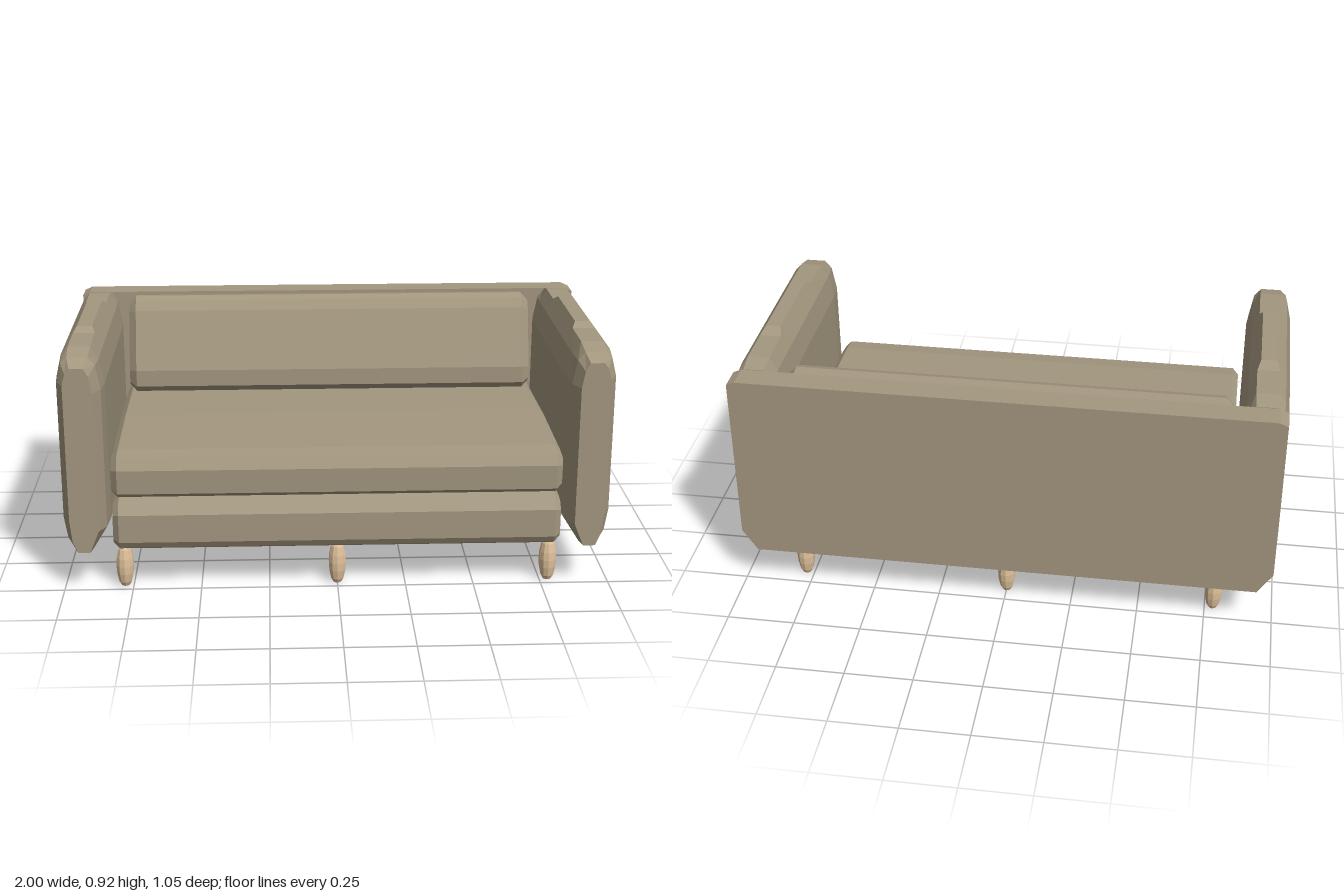
import * as THREE from 'three';

const fabric = new THREE.MeshStandardMaterial({ color: 0xa3977f });
fabric.name = 'taupe fabric';
const wood = new THREE.MeshStandardMaterial({ color: 0xdfc19b });
wood.name = 'pale wood';

// Gives a geometry faceted normals
function facet(geometry) {
  const flat = geometry.index ? geometry.toNonIndexed() : geometry;
  flat.computeVertexNormals();
  return flat;
}

function addMesh(group, name, geometry, material) {
  const mesh = new THREE.Mesh(geometry, material);
  mesh.name = name;
  group.add(mesh);
  return mesh;
}

const toShape = (points) => new THREE.Shape(points.map(([u, v]) => new THREE.Vector2(u, v)));

// Upholstered block: a (z, y) profile run along x, with chamfered ends
function cushion(profile, width, bevel) {
  const g = new THREE.ExtrudeGeometry(toShape(profile), {
    depth: width - 2 * bevel, bevelEnabled: true, bevelSegments: 1,
    bevelThickness: bevel, bevelSize: bevel, bevelOffset: -bevel,
  });
  g.translate(0, 0, bevel - width / 2);
  g.rotateY(-Math.PI / 2);
  return facet(g);
}

// Joins anticlockwise cross-sections running from back to front and caps both ends
function loft(sections) {
  const n = sections[0].length;
  const index = [];
  for (let s = 0; s < sections.length - 1; s++) {
    for (let i = 0; i < n; i++) {
      const a = s * n + i, b = s * n + (i + 1) % n;
      index.push(a, b, b + n, a, b + n, a + n);
    }
  }
  const last = (sections.length - 1) * n;
  for (let i = 1; i < n - 1; i++) {
    index.push(0, i + 1, i, last, last + i, last + i + 1);
  }
  const g = new THREE.BufferGeometry();
  g.setAttribute('position', new THREE.Float32BufferAttribute(sections.flat(2), 3));
  g.setIndex(index);
  return facet(g);
}

// Arm stations: z, top height, width factor, width factor of the top pad
const armStations = [
  [-0.43, 0.885, 0.95, 1], [-0.36, 0.9, 1, 1], [-0.2, 0.9, 1, 1],
  [-0.16, 0.92, 1, 0.7], [0.205, 0.92, 1, 0.7], [0.23, 0.9, 1, 1],
  [0.4, 0.898, 1, 1], [0.475, 0.88, 0.92, 1], [0.523, 0.852, 0.62, 1],
];

function armGeometry(side) {
  const middle = 0.915;
  return loft(armStations.map(([z, top, wide, pad]) => {
    const half = 0.04 * pad;
    const points = [
      [0.885, 0.157], [0.955, 0.157], [0.985, 0.2], [0.999, 0.28], [0.999, 0.79],
      [0.98, Math.min(0.87, top - 0.02)], [middle + half, top], [middle - half, top],
      [0.848, Math.min(0.85, top - 0.03)], [0.83, 0.76], [0.83, 0.24],
    ].map(([x, y]) => [side * (middle + (x - middle) * wide), y, z]);
    return side > 0 ? points : points.reverse();
  }));
}

export function createModel() {
  const sofa = new THREE.Group();
  sofa.name = 'sofa';

  // Back panel with clipped lower corners
  const backShape = toShape([
    [-0.935, 0.157], [0.935, 0.157], [0.99, 0.24], [0.99, 0.872],
    [0.96, 0.885], [-0.96, 0.885], [-0.99, 0.872], [-0.99, 0.24],
  ]);
  const back = new THREE.ExtrudeGeometry(backShape, { depth: 0.095, bevelEnabled: false });
  back.translate(0, 0, -0.528);
  addMesh(sofa, 'backPanel', facet(back), fabric);

  // Arms
  addMesh(sofa, 'leftArm', armGeometry(1), fabric);
  addMesh(sofa, 'rightArm', armGeometry(-1), fabric);

  // Base below the seat
  addMesh(sofa, 'base', cushion([
    [-0.43, 0.15], [0.47, 0.15], [0.5, 0.165], [0.515, 0.19],
    [0.515, 0.295], [0.485, 0.33], [0.44, 0.342], [-0.43, 0.342],
  ], 1.63, 0.022), fabric);

  // Seat cushion with a slightly crowned top
  addMesh(sofa, 'seatCushion', cushion([
    [-0.42, 0.355], [0.48, 0.355], [0.508, 0.375], [0.512, 0.465],
    [0.49, 0.505], [0.42, 0.515], [0.05, 0.525], [-0.42, 0.515],
  ], 1.63, 0.022), fabric);

  // Leaning back cushion
  addMesh(sofa, 'backCushion', cushion([
    [-0.42, 0.515], [-0.27, 0.515], [-0.24, 0.545], [-0.24, 0.61],
    [-0.32, 0.835], [-0.345, 0.87], [-0.38, 0.882], [-0.42, 0.875],
  ], 1.6, 0.028), fabric);

  // Rounded legs
  const legProfile = [
    [0, 0], [0.015, 0], [0.024, 0.016], [0.031, 0.05], [0.033, 0.08],
    [0.031, 0.11], [0.024, 0.143], [0.015, 0.16], [0, 0.16],
  ].map(([r, y]) => new THREE.Vector2(r, y));
  const legGeometry = facet(new THREE.LatheGeometry(legProfile, 10));
  for (const z of [0.455, -0.43]) {
    for (const x of [-0.78, 0, 0.78]) {
      addMesh(sofa, z > 0 ? 'frontLeg' : 'backLeg', legGeometry, wood).position.set(x, 0, z);
    }
  }
  return sofa;
}
